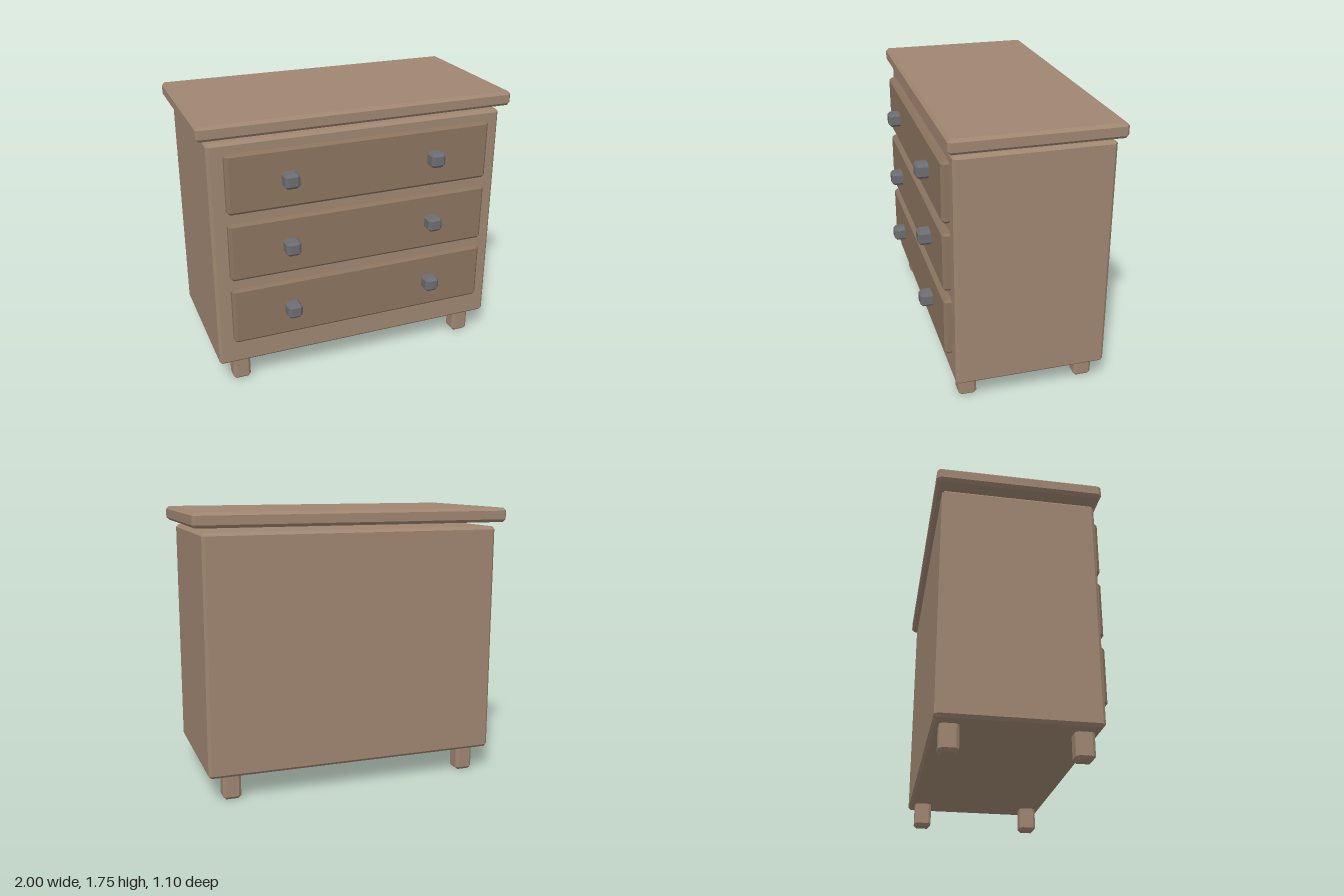
import * as THREE from 'three';
import { ConvexGeometry } from 'three/addons/geometries/ConvexGeometry.js';

const wood = new THREE.MeshStandardMaterial({ color: 0x9f8671 });
const darkWood = new THREE.MeshStandardMaterial({ color: 0x8b745f });
const metal = new THREE.MeshStandardMaterial({ color: 0x6c6d72 });

// Box with every edge cut by a flat bevel: each corner becomes three points
function bevelBox(w, h, d, c = 0.018) {
  const points = [];
  for (const sx of [-1, 1]) for (const sy of [-1, 1]) for (const sz of [-1, 1]) {
    const x = w / 2, y = h / 2, z = d / 2;
    points.push(
      new THREE.Vector3(sx * x, sy * (y - c), sz * (z - c)),
      new THREE.Vector3(sx * (x - c), sy * y, sz * (z - c)),
      new THREE.Vector3(sx * (x - c), sy * (y - c), sz * z));
  }
  return new ConvexGeometry(points);
}

export function createModel() {
  const model = new THREE.Group();
  model.name = 'chestOfDrawers';

  function add(name, geometry, material, x, y, z, parent = model) {
    const mesh = new THREE.Mesh(geometry, material);
    mesh.name = name;
    mesh.position.set(x, y, z);
    parent.add(mesh);
  }

  // Cabinet and the overhanging top, which sits a little above it
  add('cabinet', bevelBox(1.886, 1.47, 0.944), wood, 0, 0.892, -0.042);
  add('top', bevelBox(2, 0.09, 1.018), wood, 0, 1.7, -0.042);

  // Drawers, each with a pair of knobs
  const front = bevelBox(1.7, 0.377, 0.076);
  const knob = bevelBox(0.094, 0.094, 0.094);
  ['lower', 'middle', 'upper'].forEach((level, i) => {
    const drawer = new THREE.Group();
    drawer.name = level + 'Drawer';
    drawer.position.y = 0.513 + i * 0.434;
    add('drawerFront', front, darkWood, 0, 0, 0.438, drawer);
    add('rightKnob', knob, metal, -0.472, 0, 0.504, drawer);
    add('leftKnob', knob, metal, 0.472, 0, 0.504, drawer);
    model.add(drawer);
  });

  // Legs, running a little way into the cabinet
  const leg = bevelBox(0.113, 0.19, 0.113);
  for (const [side, x] of [['Right', -0.793], ['Left', 0.793]]) {
    add('front' + side + 'Leg', leg, wood, x, 0.095, 0.336);
    add('back' + side + 'Leg', leg, wood, x, 0.095, -0.42);
  }
  return model;
}
